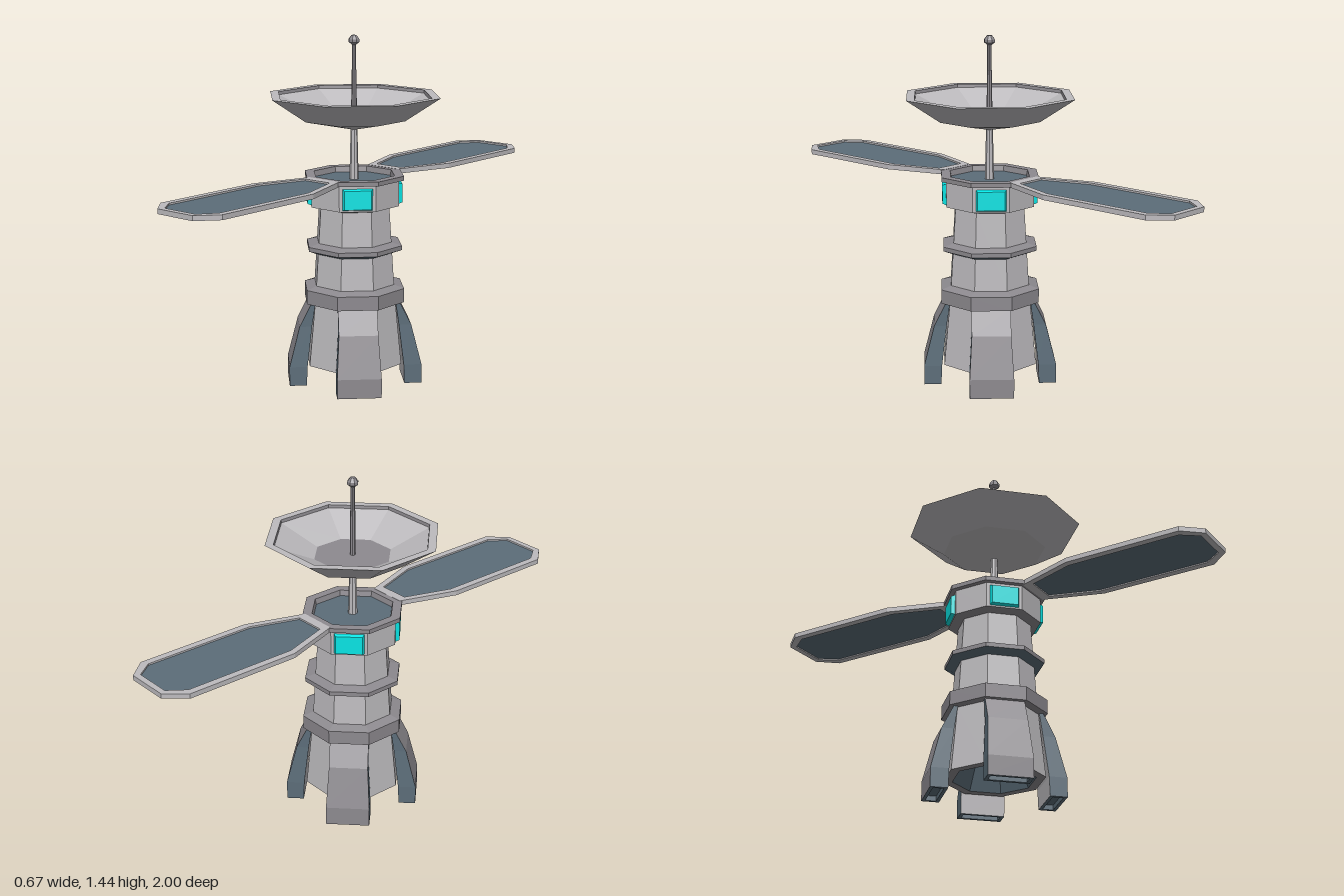
import * as THREE from 'three';

const material = (name, color) => {
  const m = new THREE.MeshStandardMaterial({ color });
  m.name = name;
  return m;
};

export function createModel() {
  const light = material('light grey', 0xbdbbbe);
  const trim = material('trim grey', 0x8d8a8f);
  const blue = material('slate blue', 0x5c6d79);
  const teal = material('window teal', 0x06e4e4);
  const model = new THREE.Group();

  // Adds a mesh with hard facets
  const add = (parent, name, geometry, mat) => {
    const g = geometry.index ? geometry.toNonIndexed() : geometry;
    g.computeVertexNormals();
    const mesh = new THREE.Mesh(g, mat);
    mesh.name = name;
    parent.add(mesh);
    return mesh;
  };

  // Octagonal lathe; radii are measured to the flats
  const octagon = (name, profile, mat) => {
    const k = Math.cos(Math.PI / 8);
    const points = profile.map(([r, y]) => new THREE.Vector2(r / k, y));
    return add(model, name, new THREE.LatheGeometry(points, 8, Math.PI / 8), mat);
  };

  // Mesh from four-cornered faces
  const quads = (parent, name, faces, mat) => {
    const pos = faces.flatMap(([a, b, c, d]) => [a, b, c, a, c, d].flat());
    const g = new THREE.BufferGeometry();
    g.setAttribute('position', new THREE.Float32BufferAttribute(pos, 3));
    return add(parent, name, g, mat);
  };

  // Tower
  octagon('lowerBody', [[0.19, 0.08], [0.165, 0.35]], light);
  octagon('bottomRim', [[0.155, 0.08], [0.19, 0.08]], trim);
  octagon('engineRecess', [[0, 0.2], [0.11, 0.2], [0.155, 0.08]], blue);
  octagon('collar', [[0.15, 0.345], [0.2, 0.347], [0.2, 0.405], [0.155, 0.42]], trim);
  octagon('upperBody', [[0.16, 0.415], [0.14, 0.745]], light);
  octagon('middleRingUnderside', [[0.145, 0.548], [0.19, 0.567]], blue);
  octagon('middleRing', [[0.19, 0.567], [0.19, 0.585], [0.145, 0.598]], trim);
  octagon('headBevel', [[0.135, 0.738], [0.178, 0.75]], trim);
  octagon('head', [[0.178, 0.75], [0.178, 0.856]], light);
  octagon('headLip', [[0.175, 0.855], [0.197, 0.857], [0.197, 0.875], [0.16, 0.875], [0.155, 0.85]], trim);
  octagon('headDeck', [[0.157, 0.852], [0, 0.852]], blue);

  // Dish
  octagon('dishShell', [[0, 1.055], [0.2, 1.1], [0.335, 1.198]], light);
  octagon('dishRim', [[0.335, 1.198], [0.302, 1.198]], light);
  octagon('dishStep', [[0.302, 1.198], [0.3, 1.185]], trim);
  octagon('dishBowl', [[0.3, 1.185], [0.148, 1.112]], light);
  octagon('dishFloor', [[0.148, 1.112], [0, 1.112]], trim);

  // Mast and antenna
  const rod = (name, y0, y1, r0, r1, mat) =>
    add(model, name, new THREE.CylinderGeometry(r1, r0, y1 - y0, 8).translate(0, (y0 + y1) / 2, 0), mat);
  rod('mast', 0.85, 1.1, 0.019, 0.013, light);
  rod('antennaBase', 1.1, 1.3, 0.012, 0.01, trim);
  rod('antenna', 1.3, 1.41, 0.009, 0.009, trim);
  octagon('antennaTip', [[0, 1.395], [0.021, 1.412], [0.021, 1.424], [0.01, 1.44], [0, 1.44]], trim);

  // Windows and legs on the four diagonal sides
  const levels = [[0, 0.274, 0.09, 0.203], [0.08, 0.274, 0.09, 0.2],
    [0.25, 0.231, 0.08, 0.18], [0.352, 0.18, 0.08, 0.165]]; // height, outer radius, half width, inner radius
  for (let i = 0; i < 4; i++) {
    const side = new THREE.Group();
    side.name = 'diagonalSide' + (i + 1);
    side.rotation.y = Math.PI / 4 + i * Math.PI / 2;
    model.add(side);

    const pane = new THREE.BoxGeometry(0.132, 0.096, 0.03);
    const p = pane.attributes.position;
    for (let v = 0; v < p.count; v++) {
      if (p.getZ(v) > 0) p.setXY(v, p.getX(v) * 0.82, p.getY(v) * 0.8);
    }
    add(side, 'window', pane.translate(0, 0.8, 0.179), teal);

    const front = [], flanks = [], back = [];
    for (let j = 0; j < levels.length - 1; j++) {
      const [y, R, w, r] = levels[j], [Y, S, W, s] = levels[j + 1];
      front.push([[-w, y, R], [w, y, R], [W, Y, S], [-W, Y, S]]);
      flanks.push(
        [[w, y, R], [w, y, r], [W, Y, s], [W, Y, S]],
        [[-w, y, r], [-w, y, R], [-W, Y, S], [-W, Y, s]]);
      back.push([[w, y, r], [-w, y, r], [-W, Y, s], [W, Y, s]]);
    }
    quads(side, 'legFront', front, trim);
    quads(side, 'legSides', flanks, blue);
    quads(side, 'legBack', back, light);

    // Foot with a recessed sole
    const loop = (inset, y) => {
      const [, R, w, r] = levels[0], a = w - inset, b = R - inset, c = r + inset;
      return [[-a, y, b], [-a, y, c], [a, y, c], [a, y, b]];
    };
    const rim = loop(0, 0), edge = loop(0.014, 0), sole = loop(0.014, 0.02);
    const frame = [], recess = [sole];
    for (let j = 0; j < 4; j++) {
      const n = (j + 1) % 4;
      frame.push([rim[j], rim[n], edge[n], edge[j]]);
      recess.push([edge[j], edge[n], sole[n], sole[j]]);
    }
    quads(side, 'footFrame', frame, blue);
    quads(side, 'footRecess', recess, blue);
  }

  // Solar wings, front and back
  const outline = (half) => half.concat(half.map(([x, z]) => [-x, z]).reverse())
    .map(([x, z]) => new THREE.Vector2(x, z));
  const hole = outline([[0.065, 0.225], [0.132, 0.425], [0.132, 0.905], [0.08, 0.975]]);
  const frameShape = new THREE.Shape(outline([[0.08, 0.185], [0.162, 0.43], [0.162, 0.92], [0.092, 1]]));
  frameShape.holes.push(new THREE.Path(hole));
  const slab = (shape, depth, top) =>
    new THREE.ExtrudeGeometry(shape, { depth, bevelEnabled: false }).rotateX(Math.PI / 2).translate(0, top, 0);
  for (const [name, turn] of [['frontWing', 0], ['backWing', Math.PI]]) {
    const wing = new THREE.Group();
    wing.name = name;
    wing.rotation.y = turn;
    model.add(wing);
    add(wing, 'wingFrame', slab(frameShape, 0.02, 0.876), light);
    add(wing, 'solarPanel', slab(new THREE.Shape(hole), 0.008, 0.869), blue);
  }

  return model;
}
